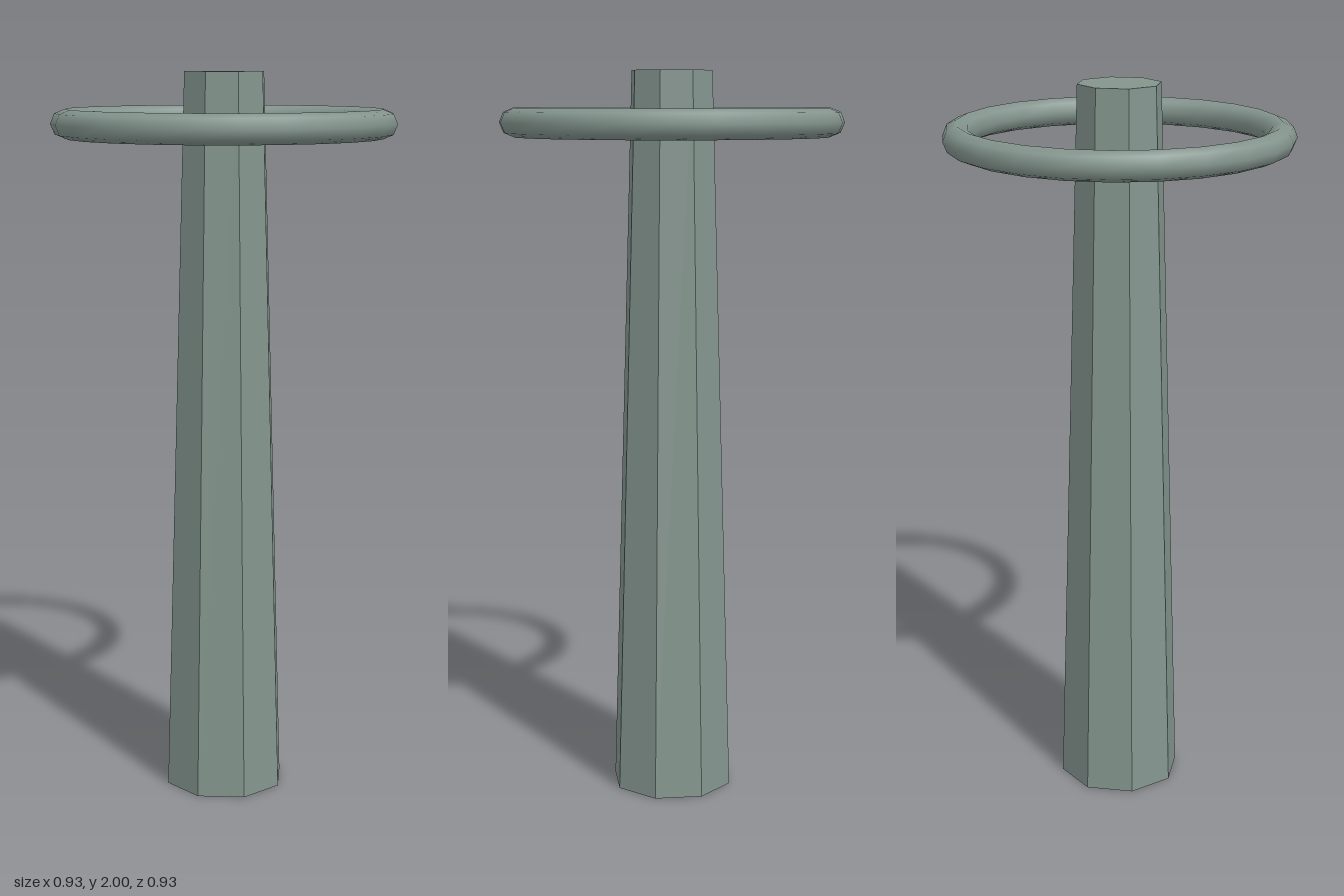
import * as THREE from 'three';

export function createModel() {
  const group = new THREE.Group();
  const color = 0x84958e;

  // Tapered eight-sided post, faceted
  const post = new THREE.Mesh(
    new THREE.CylinderGeometry(0.113, 0.17, 2, 8),
    new THREE.MeshStandardMaterial({ color, flatShading: true })
  );
  post.name = 'post';
  post.position.y = 1;
  group.add(post);

  // Smooth horizontal ring floating around the top of the post
  const ring = new THREE.Mesh(
    new THREE.TorusGeometry(0.428, 0.039, 8, 24),
    new THREE.MeshStandardMaterial({ color })
  );
  ring.name = 'ring';
  ring.rotation.x = -Math.PI / 2;
  ring.position.y = 1.862;
  group.add(ring);

  return group;
}
